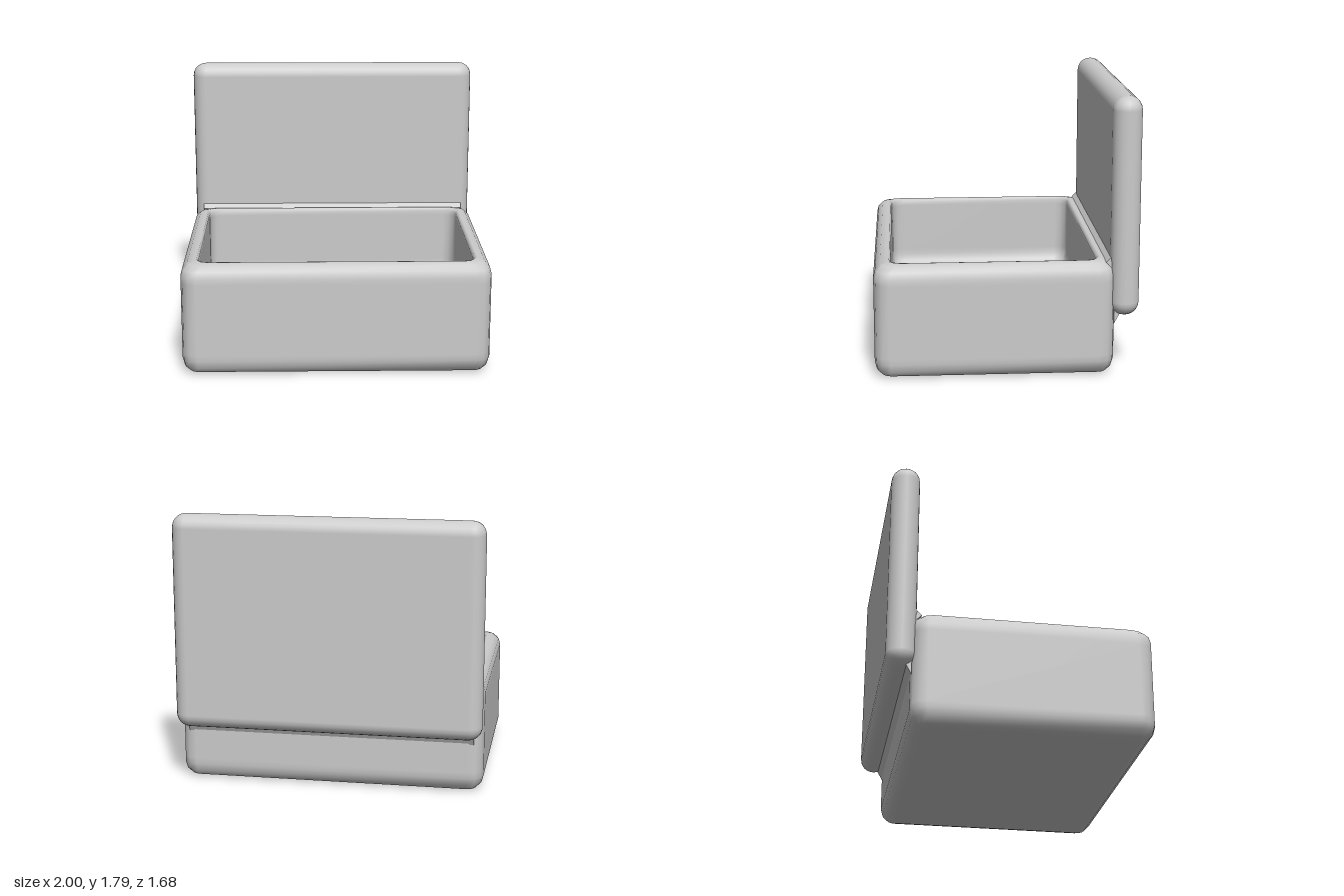
import * as THREE from 'three';
import { RoundedBoxGeometry } from 'three/addons/geometries/RoundedBoxGeometry.js';

const STEPS = 3;

// Rounded rectangle of points at height y, counter-clockwise seen from above
function ring(hx, hz, r, y) {
  const points = [];
  for (let c = 0; c < 4; c++) {
    const sx = c === 0 || c === 3 ? 1 : -1;
    const sz = c < 2 ? -1 : 1;
    for (let i = 0; i <= STEPS; i++) {
      const a = (c + i / STEPS) * Math.PI / 2;
      points.push([sx * (hx - r) + r * Math.cos(a), y, sz * (hz - r) - r * Math.sin(a)]);
    }
  }
  return points;
}

// Skin through stacked rings, closed by a flat cap at both ends
function skin(rings) {
  const n = rings[0].length;
  const positions = rings.flat(2);
  const index = [];
  for (let k = 0; k < rings.length - 1; k++) {
    for (let i = 0; i < n; i++) {
      const j = (i + 1) % n;
      const a = k * n + i, b = k * n + j;
      index.push(a, b, b + n, a, b + n, a + n);
    }
  }
  const last = (rings.length - 1) * n;
  const bottom = rings.length * n, top = bottom + 1;
  positions.push(0, rings[0][0][1], 0, 0, rings[rings.length - 1][0][1], 0);
  for (let i = 0; i < n; i++) {
    const j = (i + 1) % n;
    index.push(bottom, j, i, top, last + i, last + j);
  }
  const geometry = new THREE.BufferGeometry();
  geometry.setAttribute('position', new THREE.Float32BufferAttribute(positions, 3));
  geometry.setIndex(index);
  geometry.computeVertexNormals();
  return geometry;
}

// Small bar along x with a [z, y] cross-section, filling a seam
function seam(section, material, name) {
  const shape = new THREE.Shape(section.map(([z, y]) => new THREE.Vector2(z, y)));
  const geometry = new THREE.ExtrudeGeometry(shape, { depth: 1.88, bevelEnabled: false });
  geometry.rotateY(-Math.PI / 2).translate(0.94, 0, 0);
  const mesh = new THREE.Mesh(geometry, material);
  mesh.name = name;
  return mesh;
}

export function createModel() {
  const group = new THREE.Group();
  const material = new THREE.MeshStandardMaterial({ color: 0xcccccc });

  // Open box: profile as inset, height and corner radius, from underside to inner floor
  const R = 0.1, H = 0.745, floor = 0.23, wall = 0.11;
  const profile = [[0.14, 0, 0.01]];
  const arc = (point) => {
    for (let i = 0; i <= STEPS; i++) {
      const a = i / STEPS * Math.PI / 2;
      profile.push(point(1 - Math.cos(a), 1 - Math.sin(a)));
    }
  };
  arc((c, s) => [R * s, R * c, R - 0.085 * s]);
  profile.push([0, 0.14, R], [0, H - 0.13, R]);
  arc((c, s) => [0.085 * c, H - 0.09 * s, R - 0.015 * c]);
  profile.push([0.1, H - 0.003, 0.085], [wall, H - 0.02, 0.085], [wall, H - 0.05, 0.085], [wall, floor + 0.13, 0.085]);
  arc((c, s) => [wall + 0.09 * c, floor + 0.09 * s, 0.085 - 0.07 * c]);
  profile.push([wall + 0.13, floor, 0.01]);
  const box = new THREE.Mesh(skin(profile.map(([d, y, r]) => ring(1 - d, 0.7625 - d, r, y))), material);
  box.name = 'openBox';
  box.position.z = 0.0775;
  group.add(box);

  // Lid standing upright against the back
  const lid = new THREE.Mesh(new RoundedBoxGeometry(2, 1.405, 0.185, 3, 0.09), material);
  lid.name = 'lid';
  lid.position.set(0, 1.0875, -0.7475);
  group.add(lid);

  // Fillets where the lid meets the box, above and below
  group.add(seam([[-0.625, 0.735], [-0.655, 0.765], [-0.67, 0.69]], material, 'upperSeam'));
  group.add(seam([[-0.68, 0.33], [-0.715, 0.395], [-0.68, 0.43]], material, 'lowerSeam'));

  return group;
}
